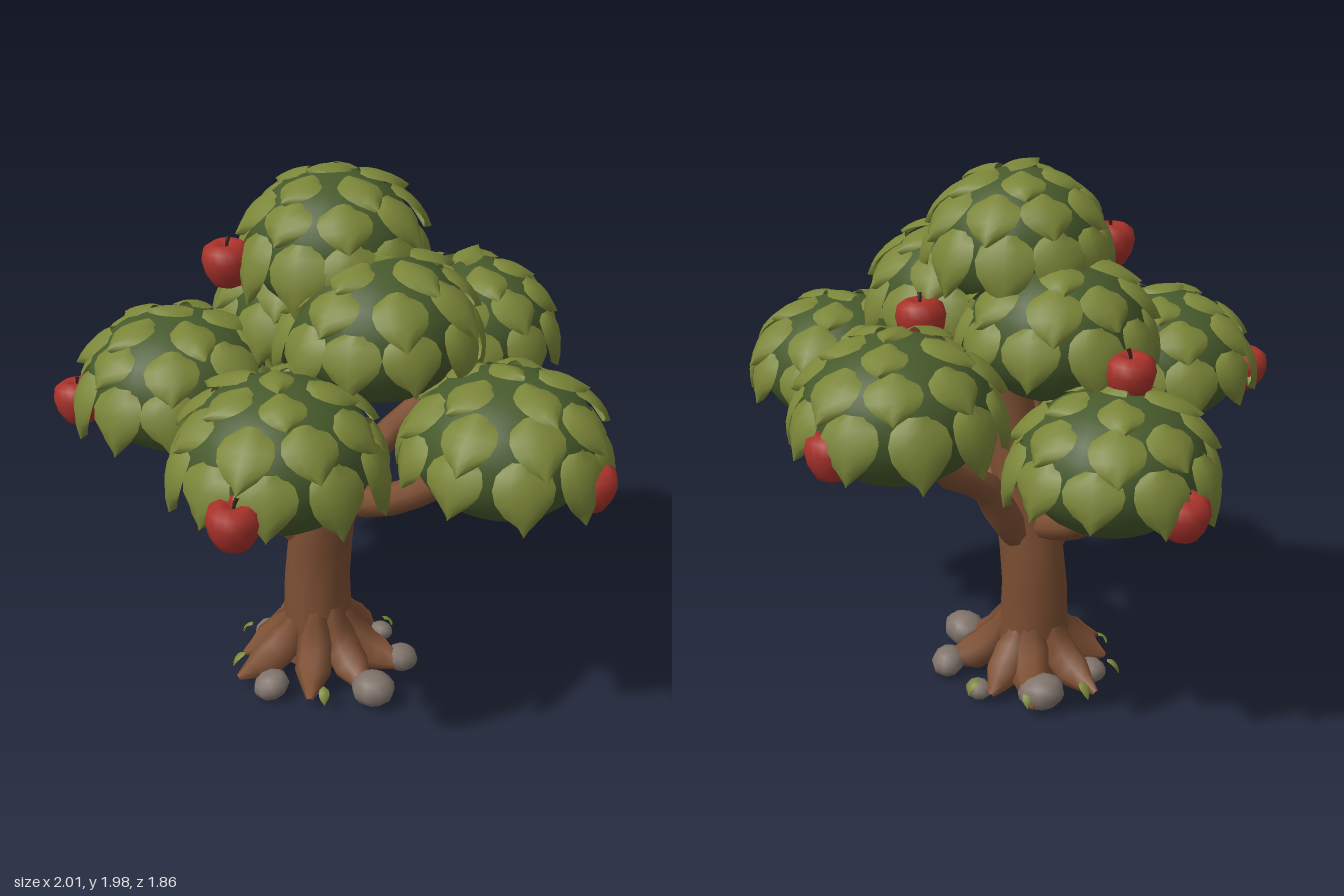
import * as THREE from 'three';
import { mergeGeometries } from 'three/addons/utils/BufferGeometryUtils.js';

const paint = (name, color, side = THREE.FrontSide) => {
  const m = new THREE.MeshStandardMaterial({ color, side });
  m.name = name;
  return m;
};
const V = (x, y, z) => new THREE.Vector3(x, y, z);

// Tube along points whose radius follows a short list of values
function taperedTube(points, radii, segments = 6, sides = 10) {
  const curve = new THREE.CatmullRomCurve3(points.map(p => V(...p)));
  const geo = new THREE.TubeGeometry(curve, segments, 1, sides);
  const pos = geo.attributes.position, v = V(0, 0, 0);
  for (let i = 0; i <= segments; i++) {
    const c = curve.getPointAt(i / segments);
    const f = (i / segments) * (radii.length - 1), k = Math.min(Math.floor(f), radii.length - 2);
    const r = THREE.MathUtils.lerp(radii[k], radii[k + 1], f - k);
    for (let j = 0; j <= sides; j++) {
      const n = i * (sides + 1) + j;
      v.fromBufferAttribute(pos, n).sub(c).multiplyScalar(r).add(c);
      pos.setXYZ(n, v.x, v.y, v.z);
    }
  }
  return geo;
}

// Broad pointed leaf laid over an ellipsoid, from polar angle a0 down to a1
const LEAF_WIDTH = [0.42, 0.86, 1, 0.92, 0.6, 0.04];
function leaf(rx, ry, azimuth, a0, a1, halfWidth, flare) {
  const pos = [], index = [], rows = LEAF_WIDTH.length - 1, cols = 4;
  for (let i = 0; i <= rows; i++) {
    const t = i / rows, a = THREE.MathUtils.degToRad(a0 + (a1 - a0) * t);
    const lift = 0.015 + flare * t;
    for (let j = 0; j <= cols; j++) {
      const u = (j / cols) * 2 - 1, drop = 0.3 * halfWidth * u * u;
      pos.push(u * halfWidth * LEAF_WIDTH[i],
        (ry + lift - drop) * Math.cos(a), (rx + lift - drop) * Math.sin(a));
      if (i < rows && j < cols) {
        const p = i * (cols + 1) + j, q = p + cols + 1;
        index.push(p, q, p + 1, p + 1, q, q + 1);
      }
    }
  }
  const geo = new THREE.BufferGeometry();
  geo.setAttribute('position', new THREE.Float32BufferAttribute(pos, 3));
  geo.setIndex(index);
  geo.computeVertexNormals();
  return geo.rotateY(azimuth);
}

export function createModel() {
  const tree = new THREE.Group();
  tree.name = 'appleTree';
  const bark = paint('bark', 0x7d4f33);
  const foliage = paint('dark foliage', 0x475a2c);
  const leafGreen = paint('leaf green', 0x7a8538, THREE.DoubleSide);
  const appleRed = paint('apple red', 0xa8322a);
  const stemBrown = paint('stem brown', 0x35231a);
  const stoneGrey = paint('stone grey', 0x7f736a);
  const add = (name, geo, mat, parent = tree) => {
    const m = new THREE.Mesh(geo, mat);
    m.name = name;
    parent.add(m);
    return m;
  };

  // Trunk
  add('trunk', taperedTube(
    [[-0.1, 0.06, 0.11], [-0.115, 0.3, 0.11], [-0.11, 0.52, 0.1], [-0.05, 0.8, 0.09], [-0.02, 1.05, 0.09], [0, 1.4, 0.06]],
    [0.14, 0.125, 0.12, 0.1, 0.08, 0.06], 8, 12), bark);
  add('trunkBase', new THREE.CircleGeometry(0.15, 12).rotateX(Math.PI / 2).translate(-0.1, 0.06, 0.11), bark);

  // Branches, one to each outer clump
  const branches = [
    [[[-0.15, 0.54, 0.13], [-0.16, 0.66, 0.2], [-0.17, 0.83, 0.26], [-0.29, 1.02, 0.42], [-0.35, 1.2, 0.5]], [0.05, 0.08, 0.068, 0.05, 0.045]],
    [[[-0.06, 0.72, 0.1], [0.0, 0.79, 0.19], [0.1, 0.87, 0.34], [0.21, 0.98, 0.46], [0.28, 1.15, 0.5]], [0.04, 0.06, 0.055, 0.05, 0.045]],
    [[[-0.08, 0.7, 0.1], [0.03, 0.77, 0.07], [0.17, 0.81, 0.05], [0.42, 0.97, -0.06], [0.56, 1.12, -0.1]], [0.04, 0.06, 0.058, 0.05, 0.04]],
    [[[-0.12, 0.64, 0.1], [-0.24, 0.68, 0.06], [-0.45, 0.785, -0.02], [-0.51, 0.86, -0.06], [-0.58, 1.04, -0.1]], [0.05, 0.055, 0.05, 0.045, 0.04]],
    [[[-0.1, 0.56, 0.08], [-0.1, 0.68, -0.03], [-0.1, 0.86, -0.15], [-0.1, 0.98, -0.36], [-0.1, 1.15, -0.5]], [0.05, 0.065, 0.055, 0.05, 0.045]],
  ];
  branches.forEach(([pts, radii], i) => add(`branch${i + 1}`, taperedTube(pts, radii, 7, 8), bark));

  // Spreading roots
  const rootCount = 8;
  for (let i = 0; i < rootCount; i++) {
    const reach = 0.32 + 0.03 * Math.sin(i * 2.3), top = 0.28 + 0.03 * Math.cos(i * 1.7);
    const geo = taperedTube([[0.08, top, 0], [0.12, 0.18, 0], [0.2, 0.1, 0], [reach, 0.045, 0]],
      [0.03, 0.07, 0.07, 0.012], 6, 7);
    geo.rotateY((i + 0.2 * Math.sin(i * 4)) / rootCount * Math.PI * 2);
    add(`root${i + 1}`, geo.translate(-0.1, 0, 0.11), bark);
  }

  // Stones around the roots: x, z, radius
  const stones = [[0.24, 0.11, 0.088], [-0.02, 0.39, 0.07], [-0.32, 0.2, 0.065],
    [-0.3, -0.07, 0.088], [0.13, -0.11, 0.07], [-0.08, -0.17, 0.05]];
  stones.forEach(([x, z, r], i) => {
    const s = add(`stone${i + 1}`, new THREE.SphereGeometry(r, 9, 7), stoneGrey);
    s.scale.set(1, 0.75, 0.9);
    s.rotation.set(0.2 * Math.sin(i), i * 1.3, 0.2);
    s.position.set(x, 0.01 + r * 0.74, z);
  });

  // Small grass blades at the ground
  for (let i = 0; i < 9; i++) {
    const a = i * 0.7 + 0.3, blade = leaf(0.03, 0.035, a, 10, 95, 0.02, 0.01);
    add(`grassBlade${i + 1}`, blade.translate(-0.1 + 0.29 * Math.sin(a), 0.05, 0.11 + 0.29 * Math.cos(a)), leafGreen);
  }

  // Apple with a dimpled top and a bent stem
  const profile = [[0, -0.068], [0.025, -0.08], [0.055, -0.066], [0.078, -0.025], [0.087, 0.02],
    [0.078, 0.058], [0.05, 0.076], [0.022, 0.07], [0, 0.052]].map(p => new THREE.Vector2(...p));
  const appleGeo = new THREE.LatheGeometry(profile, 16);
  const stemGeo = taperedTube([[0, 0.05, 0], [0.003, 0.075, 0], [0.012, 0.096, 0]], [0.005, 0.007], 4, 6);

  // Foliage clumps: centre, horizontal and vertical radius, apple position
  const clumps = [
    ['frontRight', [-0.34, 1.24, 0.53], 0.31, 0.245, [-0.53, 1.16, 0.82]],
    ['frontLeft', [0.29, 1.2, 0.53], 0.31, 0.25, [0.48, 1.12, 0.82]],
    ['left', [0.63, 1.18, -0.13], 0.31, 0.245, [0.92, 1.1, -0.24]],
    ['right', [-0.61, 1.08, -0.1], 0.31, 0.245, [-0.92, 0.98, -0.14]],
    ['back', [-0.1, 1.27, -0.58], 0.31, 0.245, [-0.1, 1.19, -0.87]],
    ['upperLeft', [0.19, 1.49, 0.05], 0.3, 0.25, [0.06, 1.47, -0.3]],
    ['upperRight', [-0.27, 1.44, 0.02], 0.3, 0.25, [-0.63, 1.36, -0.05]],
    ['crown', [-0.07, 1.71, 0.05], 0.285, 0.25, [-0.22, 1.66, 0.38]],
  ];
  // Leaf rings: count, start angle, end angle, half width, tip flare
  const rings = [[1, -12, 16, 0.055, 0.01], [5, 18, 50, 0.075, 0.025],
    [8, 43, 81, 0.092, 0.04], [10, 73, 115, 0.1, 0.075]];
  clumps.forEach(([name, centre, rx, ry, fruit], c) => {
    const clump = new THREE.Group();
    clump.name = `${name}Clump`;
    clump.position.set(...centre);
    tree.add(clump);
    add('clumpBody', new THREE.SphereGeometry(1, 24, 16).scale(rx, ry, rx), foliage, clump);

    // Lowest leaves part around the apple
    const facing = Math.atan2(fruit[0] - centre[0], fruit[2] - centre[2]);
    const leaves = [];
    rings.forEach(([count, a0, a1, w, flare], r) => {
      for (let i = 0; i < count; i++) {
        const wobble = Math.sin(i * 5.1 + r * 2.7 + c * 1.9);
        const az = (i + 0.5 * (r % 2) + 0.08 * wobble) / count * Math.PI * 2 + facing;
        leaves.push(leaf(rx, ry, az, a0, a1 + 4 * wobble, w, flare + 0.012 * wobble));
      }
    });
    add('leaves', mergeGeometries(leaves), leafGreen, clump);

    const apple = new THREE.Group();
    apple.name = `${name}Apple`;
    apple.position.set(...fruit);
    apple.rotation.set(0.12 * Math.sin(c * 2), c * 1.1, 0.12 * Math.cos(c * 3));
    add('appleFlesh', appleGeo, appleRed, apple);
    add('appleStem', stemGeo, stemBrown, apple);
    tree.add(apple);
  });
  return tree;
}
